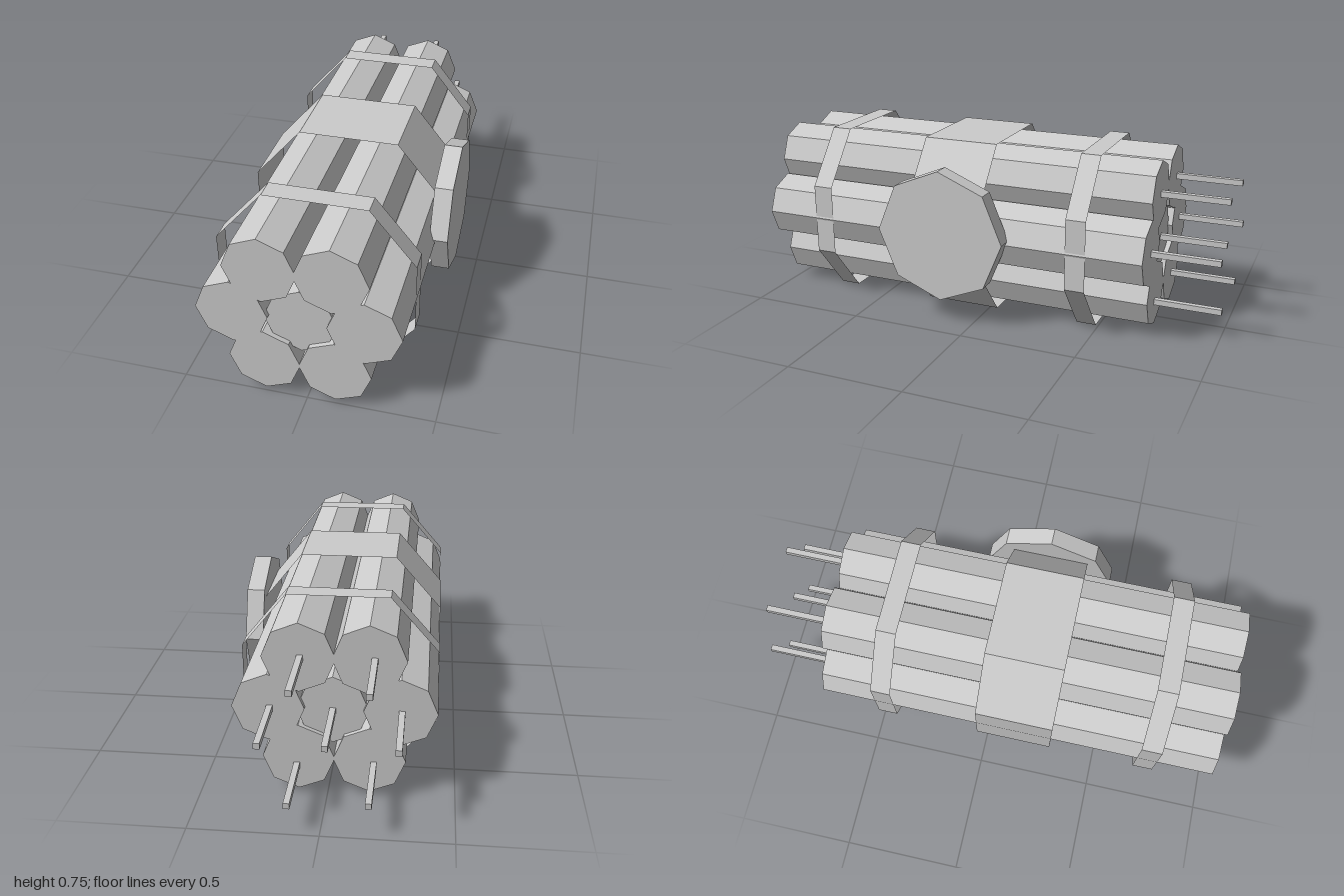
import * as THREE from 'three';

export function createModel() {
  const group = new THREE.Group();
  const grey = new THREE.MeshStandardMaterial({ color: 0xcccccc, flatShading: true });
  grey.name = 'plain grey';
  grey.side = THREE.DoubleSide;

  function add(name, geometry, x = 0, y = 0, z = 0) {
    const mesh = new THREE.Mesh(geometry, grey);
    mesh.name = name;
    mesh.position.set(x, y, z);
    group.add(mesh);
    return mesh;
  }

  // Octagonal sticks: centre x, y, then the fuse x, y
  const sticks = [
    [-0.16, 0.589, -0.18, 0.589],
    [0.106, 0.589, 0.10, 0.589],
    [-0.28, 0.374, -0.285, 0.372],
    [0.227, 0.374, 0.22, 0.372],
    [-0.163, 0.16, -0.18, 0.142],
    [0.112, 0.16, 0.12, 0.124],
    [-0.02, 0.364, -0.02, 0.362],
  ];
  sticks.forEach(([x, y, fx, fy], i) => {
    const inset = i === 6 ? 0.02 : 0; // the middle stick is slightly recessed
    const front = 1 - inset, back = -0.72 + inset;
    const body = new THREE.CylinderGeometry(0.141, 0.141, front - back, 8);
    body.rotateX(Math.PI / 2);
    add('stick', body, x, y, (front + back) / 2);

    const tip = -1 + inset;
    add('fuse', new THREE.BoxGeometry(0.024, 0.024, back + 0.02 - tip), fx, fy, (back + 0.02 + tip) / 2);
  });

  // Thin open bands around the bundle, all following one eight-sided loop
  const loop = [
    [-0.225, 0.745], [-0.42, 0.52], [-0.42, 0.22], [-0.225, 0],
    [0.185, 0], [0.365, 0.22], [0.365, 0.52], [0.185, 0.745],
  ];
  function band(name, z0, z1) {
    const positions = [];
    loop.forEach(([ax, ay], i) => {
      const [bx, by] = loop[(i + 1) % loop.length];
      positions.push(ax, ay, z0, bx, by, z0, bx, by, z1);
      positions.push(ax, ay, z0, bx, by, z1, ax, ay, z1);
    });
    const geometry = new THREE.BufferGeometry();
    geometry.setAttribute('position', new THREE.Float32BufferAttribute(positions, 3));
    // wind every face outward
    const p = geometry.attributes.position;
    const a = new THREE.Vector3().fromBufferAttribute(p, 0);
    const b = new THREE.Vector3().fromBufferAttribute(p, 1);
    const c = new THREE.Vector3().fromBufferAttribute(p, 2);
    const n = b.clone().sub(a).cross(c.clone().sub(a));
    if (n.y < 0) {
      for (let i = 0; i < p.count; i += 3) {
        const v = [p.getX(i + 1), p.getY(i + 1), p.getZ(i + 1)];
        p.setXYZ(i + 1, p.getX(i + 2), p.getY(i + 2), p.getZ(i + 2));
        p.setXYZ(i + 2, ...v);
      }
    }
    geometry.computeVertexNormals();
    add(name, geometry);
  }
  band('frontStrap', 0.675, 0.762);
  band('wideBand', -0.033, 0.298);
  band('backStrap', -0.488, -0.403);

  // Octagonal timer disc on the left side
  const disc = new THREE.CylinderGeometry(0.282, 0.282, 0.075, 8);
  disc.rotateZ(Math.PI / 2);
  add('timerDisc', disc, 0.383, 0.389, 0.13);

  return group;
}
